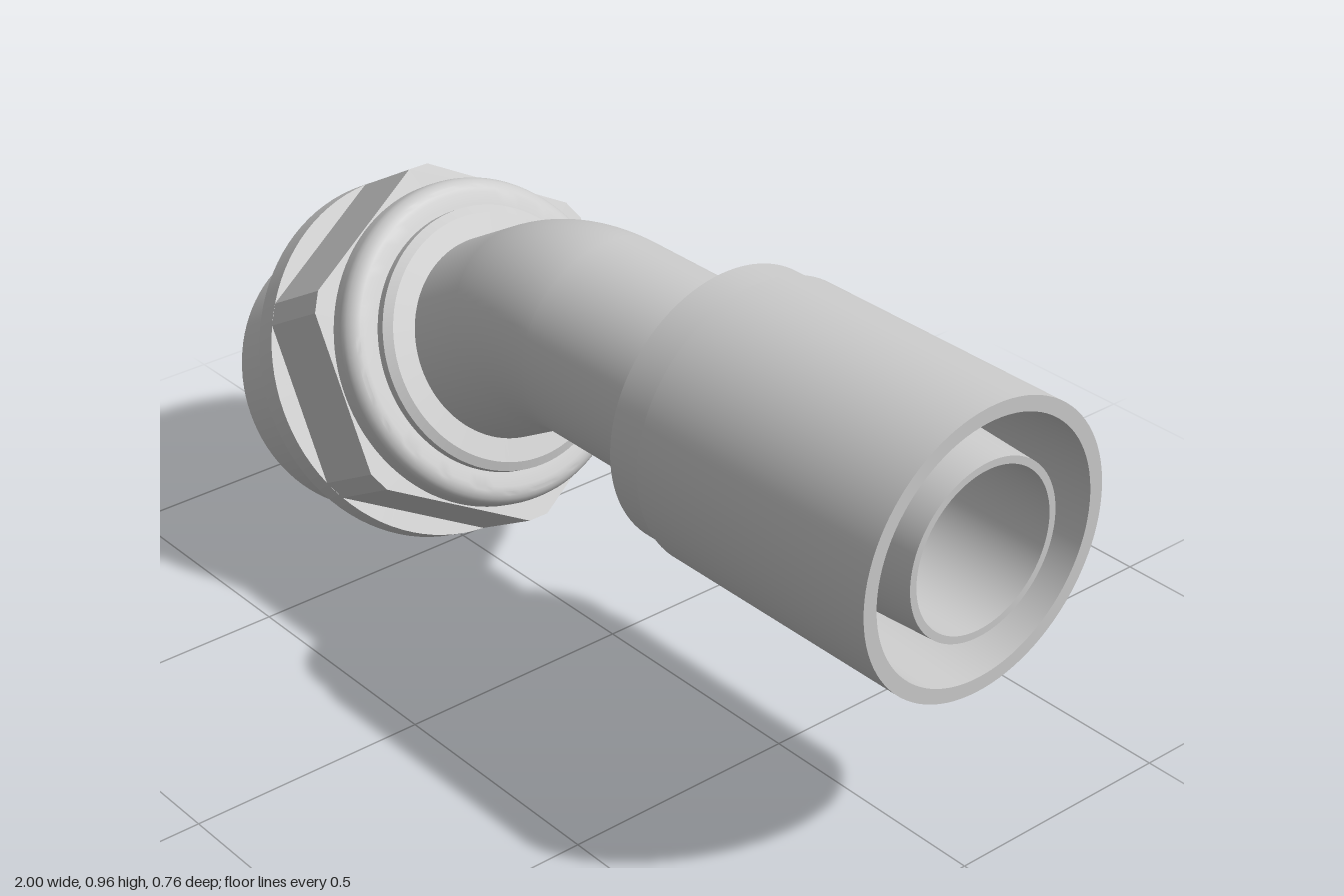
import * as THREE from 'three';
import { toCreasedNormals } from 'three/addons/utils/BufferGeometryUtils.js';

const AXIS_Y = 0.68;      // height of the straight leg
const TUBE_R = 0.207;
const BORE_R = 0.162;
const BEND_R = 0.38;
const BEND_X = -0.02;     // where the bend begins
const BEND = Math.PI / 6;
const LEG = 0.754;        // length of the slanted leg

const material = new THREE.MeshStandardMaterial({ color: 0xcccccc });
const doubleSided = new THREE.MeshStandardMaterial({ color: 0xcccccc, side: THREE.DoubleSide });

function part(name, geometry, mat = material) {
  const mesh = new THREE.Mesh(geometry, mat);
  mesh.name = name;
  return mesh;
}

// Turned part from [radius, distance along axis] pairs
function turned(name, profile) {
  const points = profile.map(([r, s]) => new THREE.Vector2(r, s));
  return part(name, toCreasedNormals(new THREE.LatheGeometry(points, 96), 0.5), doubleSided);
}

// Hexagon with its corners trimmed by a circle, and a clearance hole
function hexGeometry(flat, corner, depth) {
  const half = Math.acos(flat / corner);
  const points = [];
  for (let k = 0; k < 6; k++) {
    const mid = Math.PI / 2 + (k * Math.PI) / 3;
    for (const a of [mid - half, mid + half]) {
      points.push(new THREE.Vector2(corner * Math.cos(a), corner * Math.sin(a)));
    }
  }
  const shape = new THREE.Shape(points);
  shape.holes.push(new THREE.Path().absarc(0, 0, TUBE_R, 0, Math.PI * 2, true));
  const geometry = new THREE.ExtrudeGeometry(shape, { depth, bevelEnabled: false, curveSegments: 32 });
  return geometry.rotateX(-Math.PI / 2);
}

export function createModel() {
  const model = new THREE.Group();
  model.name = 'angledHoseFitting';

  // Slanted leg, measured from its open end
  const slanted = new THREE.Group();
  slanted.name = 'swivelEnd';
  slanted.position.set(
    BEND_X - BEND_R * Math.sin(BEND) - LEG * Math.cos(BEND),
    AXIS_Y - BEND_R * (1 - Math.cos(BEND)) - LEG * Math.sin(BEND),
    0
  );
  slanted.rotation.z = BEND - Math.PI / 2;
  model.add(slanted);

  slanted.add(turned('threadedEnd', [
    [BORE_R, 0], [0.267, 0], [0.296, 0.024], [0.296, 0.155],
    [0.255, 0.19], [0.25, 0.19], [0.25, 0.28]
  ]));
  slanted.add(turned('nutFlange', [[0.24, 0.267], [0.38, 0.267], [0.38, 0.32], [0.21, 0.32]]));
  const hex = part('hexNut', hexGeometry(0.34, 0.38, 0.185));
  hex.position.y = 0.318;
  slanted.add(hex);

  // Rounded collar behind the nut, then a small retaining ring
  const collar = [[0.337, 0.5], [0.337, 0.53]];
  for (let i = 1; i <= 6; i++) {
    const a = (i * Math.PI) / 12;
    collar.push([0.302 + 0.035 * Math.cos(a), 0.53 + 0.035 * Math.sin(a)]);
  }
  collar.push([0.28, 0.565], [0.2, 0.565]);
  slanted.add(turned('roundedCollar', collar));
  slanted.add(turned('retainingRing', [
    [0.272, 0.56], [0.272, 0.585], [0.255, 0.597], [0.2, 0.6]
  ]));
  slanted.add(turned('slantedTube', [[TUBE_R, 0.5], [TUBE_R, LEG]]));
  slanted.add(turned('slantedBore', [[BORE_R, LEG], [BORE_R, 0]]));

  // Bend, outside and bore
  for (const [name, r] of [['bentTube', TUBE_R], ['bentBore', BORE_R]]) {
    const bend = part(name, new THREE.TorusGeometry(BEND_R, r, 96, 20, BEND), doubleSided);
    bend.position.set(BEND_X, AXIS_Y - BEND_R, 0);
    bend.rotation.z = Math.PI / 2;
    model.add(bend);
  }

  // Straight leg along x
  const straight = new THREE.Group();
  straight.name = 'hoseEnd';
  straight.position.y = AXIS_Y;
  straight.rotation.z = -Math.PI / 2;
  model.add(straight);

  straight.add(turned('straightTube', [[TUBE_R, BEND_X], [TUBE_R, 0.34]]));
  straight.add(turned('crimpSleeve', [
    [0.2, 0.33], [0.281, 0.33], [0.281, 0.415], [0.29, 0.415],
    [0.29, 1], [0.26, 1], [0.233, 0.5], [0.2, 0.5]
  ]));
  straight.add(turned('hoseNipple', [
    [0.205, 0.5], [0.177, 0.995], [BORE_R, 0.995], [BORE_R, BEND_X]
  ]));

  return model;
}
